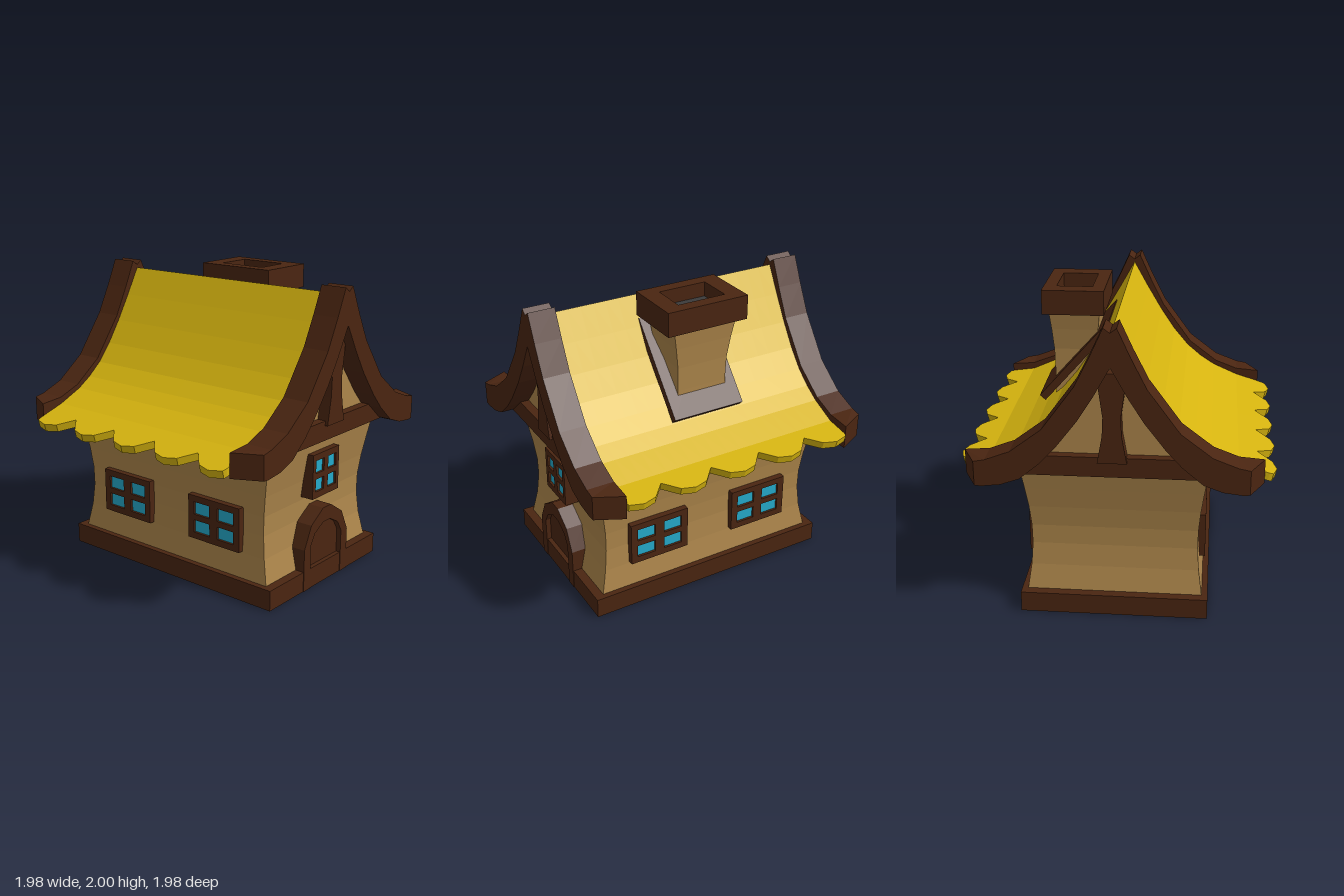
import * as THREE from 'three';

const mat = (name, color) => {
  const m = new THREE.MeshStandardMaterial({ color, flatShading: true });
  m.name = name;
  return m;
};
const CZ = -0.02; // ridge line in z

export function createModel() {
  const house = new THREE.Group();
  house.name = 'cottage';
  const plaster = mat('plaster', 0xad864b), timber = mat('timber', 0x4a2511);
  const thatch = mat('thatch', 0xd6b40f), glass = mat('glass', 0x25abcb);
  const soot = mat('soot', 0x3b3b3b);

  const add = (parent, name, geo, material, x = 0, y = 0, z = 0) => {
    const m = new THREE.Mesh(geo, material);
    m.name = name;
    m.position.set(x, y, z);
    parent.add(m);
    return m;
  };
  const poly = pts => new THREE.Shape(pts.map(p => new THREE.Vector2(...p)));
  const mirrored = pts => [...pts, ...pts.filter(p => p[0] > 0).reverse().map(([x, y]) => [-x, y])];
  const extrude = (shape, depth) => new THREE.ExtrudeGeometry(shape, { depth, bevelEnabled: false });
  const rect = (x0, y0, x1, y1) => [[x0, y0], [x1, y0], [x1, y1], [x0, y1]];
  const buffer = (pos, idx) => {
    const g = new THREE.BufferGeometry();
    g.setAttribute('position', new THREE.Float32BufferAttribute(pos, 3));
    g.setIndex(idx);
    const flat = g.toNonIndexed();
    flat.computeVertexNormals();
    return flat;
  };
  // Stack of rectangles [y, halfX, halfZ] joined by side faces
  const loft = sections => {
    const pos = [], idx = [];
    for (const [y, hx, hz] of sections) pos.push(-hx, y, hz, hx, y, hz, hx, y, -hz, -hx, y, -hz);
    for (let s = 0; s < sections.length - 1; s++) for (let k = 0; k < 4; k++) {
      const a = s * 4 + k, b = s * 4 + (k + 1) % 4;
      idx.push(a, b, b + 4, a, b + 4, a + 4);
    }
    return buffer(pos, idx);
  };

  // Plinth with a plaster-coloured underside, and pinched walls
  add(house, 'plinth', new THREE.BoxGeometry(1.74, 0.137, 1.21),
    [timber, timber, timber, plaster, timber, timber], 0, 0.0685, CZ);
  add(house, 'walls', loft([[0.13, 0.81, 0.567], [0.3, 0.775, 0.543], [0.45, 0.76, 0.533], [0.58, 0.762, 0.535],
    [0.72, 0.78, 0.547], [0.86, 0.805, 0.566], [1.02, 0.835, 0.59]]), plaster, 0, 0, CZ);
  add(house, 'eavesBeam', new THREE.BoxGeometry(1.8, 0.13, 1.19), timber, 0, 1.065, CZ);

  // Thatch: curved cross-section swept along x with scalloped eaves
  const roofR = [0, 0.1, 0.2, 0.3, 0.4, 0.5, 0.6, 0.77];
  const roofY = [1.93, 1.75, 1.58, 1.43, 1.31, 1.225, 1.16, 1.085];
  const roofT = [0.11, 0.11, 0.1, 0.085, 0.075, 0.065, 0.06, 0.05];
  const scallops = [];
  for (let i = -2; i <= 2; i++) for (const [d, inset] of [[-0.178, 0.12], [-0.09, 0.025], [0, 0], [0.09, 0.025]]) {
    const x = i * 0.356 + d;
    if (x > -0.81 && x < 0.81) scallops.push([x, inset]);
  }
  scallops.unshift([-0.81, 0.05]);
  scallops.push([0.81, 0.05]);
  const pos = [], idx = [], rows = roofR.length * 2 + 1;
  for (const [x, inset] of scallops) {
    const top = [], low = [];
    for (let j = -roofR.length; j <= roofR.length; j++) {
      const i = Math.abs(j), s = Math.sign(j);
      let r, y, t;
      if (i < roofR.length) [r, y, t] = [roofR[i], roofY[i], roofT[i]];
      else {
        r = (s > 0 ? 1.01 : 0.97) - inset;
        y = 1.085 - (r - 0.77) * (s > 0 ? 0.31 : 0.14);
        t = 0.05;
      }
      top.push(x, y, CZ + s * r);
      low.push(x, y - t, CZ + s * (r - (i === roofR.length ? 0.012 : 0)));
    }
    pos.push(...top, ...low);
  }
  const quad = (a, b, c, d) => idx.push(a, b, c, a, c, d);
  const col = rows * 2, last = (scallops.length - 1) * col;
  for (let c = 0; c < scallops.length - 1; c++) {
    const a = c * col, b = a + col;
    for (let j = 0; j < rows - 1; j++) {
      quad(a + j, a + j + 1, b + j + 1, b + j);
      quad(a + rows + j, b + rows + j, b + rows + j + 1, a + rows + j + 1);
    }
    const e = rows - 1;
    quad(a + e, a + rows + e, b + rows + e, b + e);
    quad(a, b, b + rows, a + rows);
  }
  for (let j = 0; j < rows - 1; j++) {
    quad(j, j + rows, j + rows + 1, j + 1);
    quad(last + j, last + j + 1, last + j + rows + 1, last + j + rows);
  }
  add(house, 'thatchRoof', buffer(pos, idx), thatch);

  // Gable infill under the thatch
  const gable = mirrored([[0, 1.8], [0.1, 1.62], [0.2, 1.46], [0.3, 1.33], [0.4, 1.22], [0.5, 1.1]]);
  const gableGeo = extrude(poly(gable), 1.68).translate(0, 0, -0.84).rotateY(Math.PI / 2);
  add(house, 'gableWalls', gableGeo, plaster, 0, 0, CZ);

  // Curved barge boards with slanted tips, and a waisted king post in each gable
  const outer = [[0.04, 1.98], [0.12, 1.805], [0.216, 1.614], [0.417, 1.339], [0.613, 1.19], [0.77, 1.13], [0.93, 1.117]];
  const inner = [[0.93, 0.957], [0.8, 0.953], [0.68, 0.967], [0.56, 1.01], [0.43, 1.12], [0.33, 1.23], [0.2, 1.4], [0.1, 1.56]];
  const half = [...outer, ...inner];
  const boardShape = poly([[0, 1.95], ...half, [0, 1.74], ...half.map(([x, y]) => [-x, y]).reverse()]);
  const post = mirrored([[0.092, 1.1], [0.06, 1.28], [0.055, 1.4], [0.085, 1.62], [0.09, 1.68]]);
  for (const side of [1, -1]) {
    const end = new THREE.Group();
    end.name = side > 0 ? 'leftGable' : 'rightGable';
    end.position.z = CZ;
    end.rotation.y = side * Math.PI / 2;
    house.add(end);
    const board = extrude(boardShape, 0.18), p = board.attributes.position;
    for (let i = 0; i < p.count; i++)
      if (p.getZ(i) > 0.1 && Math.abs(p.getX(i)) > 0.9) p.setX(i, Math.sign(p.getX(i)) * 0.84);
    board.computeVertexNormals();
    add(end, 'bargeBoard', board, timber, 0, 0, 0.81);
    add(end, 'kingPost', extrude(poly(post), 0.1), timber, 0, 0, 0.82);
  }

  // Four-pane windows; x is measured across the wall, front is the distance out
  const addWindow = (name, angle, x, y, w, h, front, depth) => {
    const g = new THREE.Group();
    g.name = name;
    g.position.z = CZ;
    g.rotation.y = angle;
    house.add(g);
    const shape = poly(rect(-w / 2, -h / 2, w / 2, h / 2));
    const pw = w * 0.31, ph = 0.086, dx = w * 0.233, dy = 0.063;
    for (const sx of [-1, 1]) for (const sy of [-1, 1]) {
      const cx = sx * dx, cy = sy * dy;
      shape.holes.push(poly(rect(cx - pw / 2, cy - ph / 2, cx + pw / 2, cy + ph / 2)));
      add(g, 'pane', new THREE.BoxGeometry(pw, ph, 0.008), glass, x + cx, y + cy, front - 0.02);
    }
    add(g, 'windowFrame', extrude(shape, depth), timber, x, y, front - depth);
  };
  for (const x of [-0.387, 0.387]) {
    addWindow('frontWindow', 0, x, 0.46, 0.425, 0.3, 0.58, 0.07);
    addWindow('backWindow', Math.PI, x, 0.46, 0.425, 0.3, 0.58, 0.07);
  }
  addWindow('gableWindow', Math.PI / 2, 0, 0.755, 0.292, 0.3, 0.857, 0.1);

  // Arched door
  const door = new THREE.Group();
  door.name = 'door';
  door.position.z = CZ;
  door.rotation.y = Math.PI / 2;
  house.add(door);
  const arch = mirrored([[0.247, 0], [0.247, 0.29], [0.175, 0.44], [0.045, 0.525]]);
  const opening = mirrored([[0.175, 0], [0.175, 0.3], [0.13, 0.375], [0.04, 0.425]]);
  const n = opening.length / 2;
  const jambs = poly([...arch, ...opening.slice(n), ...opening.slice(0, n)].slice(0, 8)
    .concat([...opening].reverse()));
  add(door, 'doorFrame', extrude(jambs, 0.124), timber, 0, 0, 0.75);
  add(door, 'doorPanel', extrude(poly(opening), 0.1), timber, 0, 0, 0.74);

  // Chimney: flared shaft, sloping collar, hollow cap
  add(house, 'chimneyShaft', loft([[1.2, 0.18, 0.135], [1.42, 0.175, 0.135], [1.58, 0.18, 0.14],
    [1.72, 0.2, 0.152], [1.86, 0.225, 0.168]]), plaster, 0, 0, -0.33);
  add(house, 'chimneyCollar', new THREE.BoxGeometry(0.505, 0.05, 0.7), timber, 0, 1.521, -0.314)
    .rotation.x = -0.846;
  const cap = poly(rect(-0.285, -0.2, 0.285, 0.2));
  cap.holes.push(poly(rect(-0.167, -0.117, 0.167, 0.117)));
  add(house, 'chimneyCap', extrude(cap, 0.16).rotateX(-Math.PI / 2), timber, 0, 1.84, -0.33);
  add(house, 'capUnderside', new THREE.BoxGeometry(0.5, 0.02, 0.36), timber, 0, 1.852, -0.33);
  add(house, 'flue', new THREE.BoxGeometry(0.335, 0.008, 0.235), soot, 0, 1.9, -0.33);
  return house;
}
